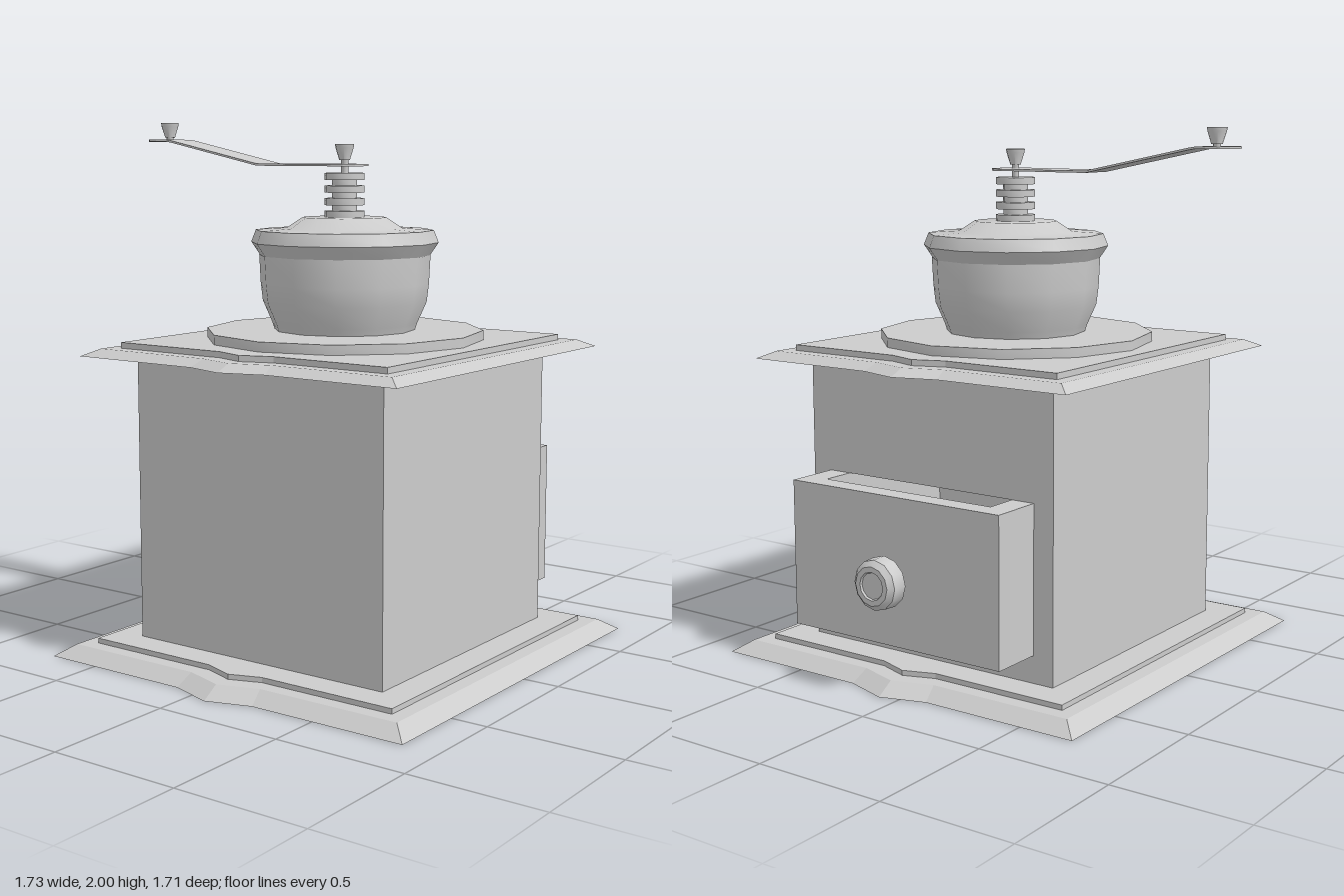
import * as THREE from 'three';
import { toCreasedNormals } from 'three/addons/utils/BufferGeometryUtils.js';

const CX = 0.075, CZ = 0.016; // axis of box and bowl
const grey = new THREE.MeshStandardMaterial({ color: 0xcccccc });
const greyThin = new THREE.MeshStandardMaterial({ color: 0xcccccc, side: THREE.DoubleSide });

function add(parent, name, geometry, x = 0, y = 0, z = 0, material = grey) {
  const mesh = new THREE.Mesh(geometry, material);
  mesh.name = name;
  mesh.position.set(x, y, z);
  parent.add(mesh);
  return mesh;
}

// Turned part: smooth around, sharp across profile corners
function turned(profile, sides = 12) {
  const points = profile.map(([r, y]) => new THREE.Vector2(r, y));
  return toCreasedNormals(new THREE.LatheGeometry(points, sides), 0.6);
}

function rect(Type, x0, y0, x1, y1) {
  const s = new Type();
  s.moveTo(x0, y0);
  s.lineTo(x1, y0);
  s.lineTo(x1, y1);
  s.lineTo(x0, y1);
  s.closePath();
  return s;
}

// Square plate with a pointed swell at front and back; the top face may be smaller
function plate(half, topHalf, height, swellWidth, swell) {
  const s = new THREE.Shape();
  s.moveTo(-half, -half);
  s.lineTo(-swellWidth, -half);
  s.lineTo(0, -half - swell);
  s.lineTo(swellWidth, -half);
  s.lineTo(half, -half);
  s.lineTo(half, half);
  s.lineTo(swellWidth, half);
  s.lineTo(0, half + swell);
  s.lineTo(-swellWidth, half);
  s.lineTo(-half, half);
  s.closePath();
  const g = new THREE.ExtrudeGeometry(s, { depth: height, bevelEnabled: false });
  g.rotateX(-Math.PI / 2);
  const p = g.attributes.position, k = topHalf / half;
  for (let i = 0; i < p.count; i++) {
    if (p.getY(i) > height / 2) p.setXYZ(i, p.getX(i) * k, p.getY(i), p.getZ(i) * k);
  }
  g.computeVertexNormals();
  return g;
}

// Crank: thin strip with round ends, raised along its length
function crankGeometry() {
  const left = -0.785, right = CX, stations = [];
  for (const a of [180, 150, 120, 90, 60, 33]) {
    const t = a * Math.PI / 180;
    stations.push([left + 0.086 * Math.cos(t), 0.086 * Math.sin(t)]);
  }
  stations[5][1] = 0.073;
  stations.push([-0.53, 0.073], [-0.285, 0.073]);
  for (const a of [123, 90, 60, 30, 0]) {
    const t = a * Math.PI / 180;
    stations.push([right + 0.09 * Math.cos(t), 0.09 * Math.sin(t)]);
  }
  const n = stations.length - 1;
  const g = new THREE.BoxGeometry(1, 0.008, 2, n, 1, 1);
  const p = g.attributes.position;
  for (let i = 0; i < p.count; i++) {
    const [x, w] = stations[Math.round((p.getX(i) + 0.5) * n)];
    const rise = 0.092 * THREE.MathUtils.clamp((-0.285 - x) / 0.45, 0, 1);
    p.setXYZ(i, x, p.getY(i) + rise, p.getZ(i) * w);
  }
  return toCreasedNormals(g, 0.1);
}

export function createModel() {
  const model = new THREE.Group();

  // Stepped base and top plates
  add(model, 'basePlate', plate(0.787, 0.725, 0.043, 0.17, 0.054), CX, 0, CZ);
  add(model, 'baseStep', plate(0.668, 0.668, 0.019, 0.12, 0.042), CX, 0.043, CZ);
  add(model, 'topPlate', plate(0.7, 0.645, 0.027, 0.165, 0.05), CX, 1.14, CZ);
  add(model, 'topStep', plate(0.593, 0.593, 0.022, 0.12, 0.042), CX, 1.167, CZ);

  // Box walls, the back one with the drawer opening
  const box = new THREE.Group();
  box.name = 'box';
  box.position.set(CX, 0, CZ);
  model.add(box);
  const half = 0.55, y0 = 0.06, y1 = 1.14;
  ['frontWall', 'leftWall', 'rightWall'].forEach((name, i) => {
    const g = new THREE.PlaneGeometry(2 * half, y1 - y0);
    g.translate(0, (y0 + y1) / 2, half);
    g.rotateY([0, 1, -1][i] * Math.PI / 2);
    add(box, name, g, 0, 0, 0, greyThin);
  });
  const back = rect(THREE.Shape, -half, y0, half, y1);
  back.holes.push(rect(THREE.Path, -0.466, 0.165, 0.466, 0.715));
  const backWall = new THREE.ShapeGeometry(back);
  backWall.rotateY(Math.PI);
  add(box, 'backWall', backWall, 0, 0, -half, greyThin);

  // Half-open drawer: rim of thick walls and a floor
  const drawer = new THREE.Group();
  drawer.name = 'drawer';
  drawer.position.set(CX, 0.165, 0);
  model.add(drawer);
  const rim = rect(THREE.Shape, -0.468, -0.11, 0.468, 0.74);
  rim.holes.push(rect(THREE.Path, -0.375, -0.01, 0.375, 0.66));
  const walls = new THREE.ExtrudeGeometry(rim, { depth: 0.55, bevelEnabled: false });
  walls.rotateX(-Math.PI / 2);
  add(drawer, 'drawerWalls', walls);
  add(drawer, 'drawerFloor', new THREE.BoxGeometry(0.76, 0.08, 0.68), 0, 0.041, -0.325);
  const knob = turned([[0, 0], [0.075, 0], [0.095, 0.02], [0.092, 0.075], [0.072, 0.093], [0.052, 0.093], [0.048, 0.086], [0, 0.086]]);
  knob.rotateX(-Math.PI / 2);
  add(drawer, 'drawerKnob', knob, 0, 0.25, -0.764);

  // Round foot, bowl and lid
  add(model, 'bowlFoot', turned([[0, 0], [0.524, 0], [0.524, 0.036], [0, 0.036]]), CX, 1.189, CZ);
  add(model, 'bowl', turned([[0.267, 1.225], [0.275, 1.25], [0.31, 1.33], [0.318, 1.4], [0.323, 1.505]]), CX, 0, CZ, greyThin);
  add(model, 'lid', turned([[0, 1.5], [0.318, 1.5], [0.353, 1.552], [0.335, 1.598], [0.218, 1.605], [0.157, 1.645], [0, 1.645]]), CX, 0, CZ);

  // Ringed spindle
  const rings = [[0.047, 0]];
  for (let i = 0; i < 4; i++) {
    const y = 0.003 + i * 0.0467;
    rings.push([0.047, y], [0.075, y], [0.075, y + 0.026], [0.047, y + 0.026]);
  }
  rings.push([0, rings[rings.length - 1][1]]);
  add(model, 'spindle', turned(rings), CX, 1.64, CZ);

  // Crank with a flared knob at each end
  add(model, 'crank', crankGeometry(), 0, 1.838, CZ);
  const flared = (stem) => turned([[0, 0], [0.014, 0], [0.014, stem], [0.02, stem],
    [0.034, stem + 0.045], [0.036, stem + 0.058], [0, stem + 0.058]]);
  add(model, 'spindleCap', flared(0.052), CX, 1.805, CZ);
  add(model, 'crankKnob', flared(0.012), -0.785, 1.93, CZ);

  return model;
}
